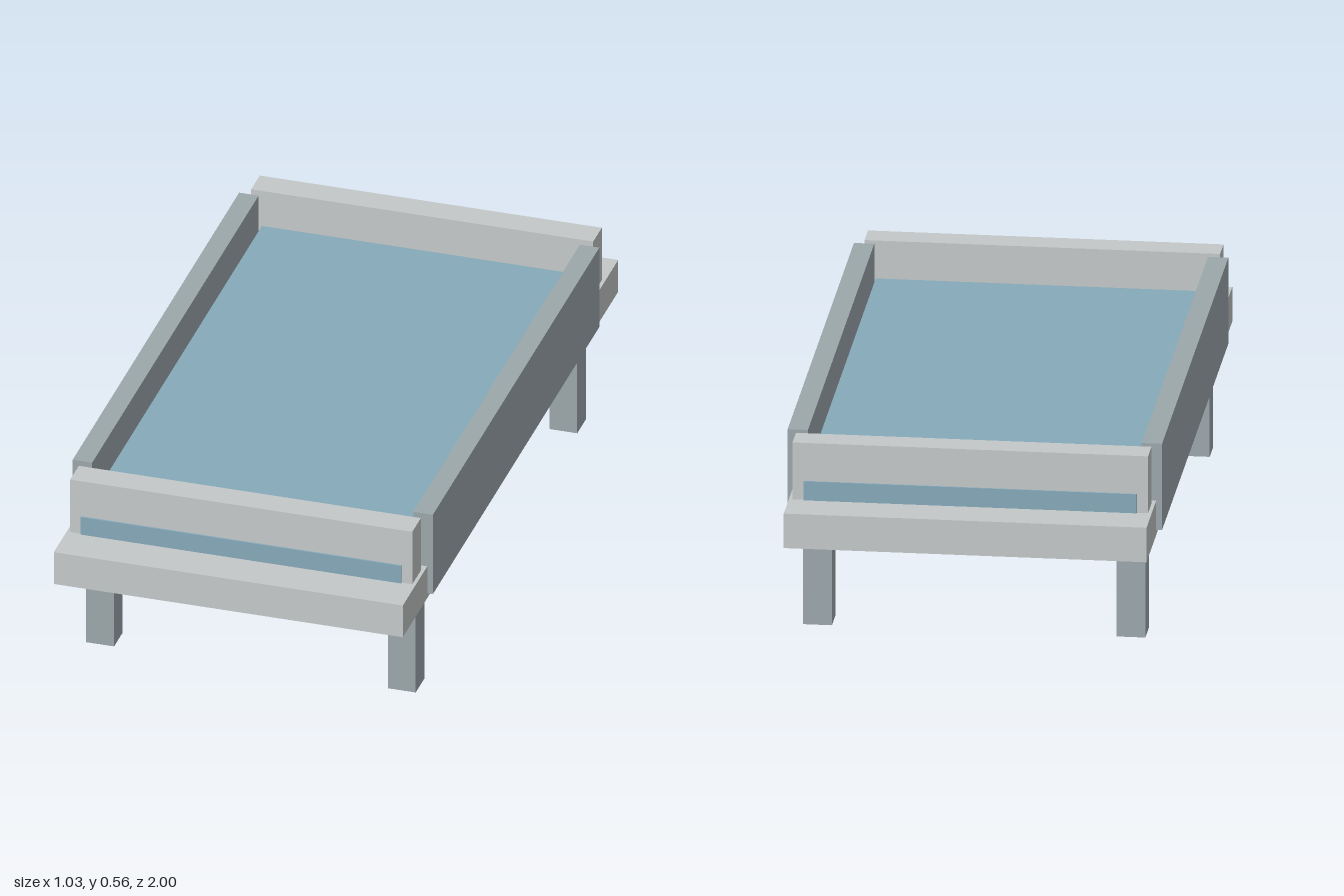
import * as THREE from 'three';

export function createModel() {
  const model = new THREE.Group();
  const lightGrey = new THREE.MeshStandardMaterial({ name: 'lightGrey', color: 0xc4c8c8 });
  const slateGrey = new THREE.MeshStandardMaterial({ name: 'slateGrey', color: 0x9ca7ab });
  const blue = new THREE.MeshStandardMaterial({ name: 'blue', color: 0x86a9ba });

  // Box from its size, centre x and z, and bottom height
  function box(name, material, [w, h, d], x, bottom, z) {
    const mesh = new THREE.Mesh(new THREE.BoxGeometry(w, h, d), material);
    mesh.name = name;
    mesh.position.set(x, bottom + h / 2, z);
    model.add(mesh);
  }

  // Bed base and mattress
  box('base', lightGrey, [1, 0.1, 2], 0, 0.293, 0);
  box('mattress', blue, [0.918, 0.118, 1.77], 0, 0.33, 0);

  for (const s of [1, -1]) {
    // Side rails and end boards
    box(s > 0 ? 'leftRail' : 'rightRail', slateGrey, [0.056, 0.25, 1.546], s * 0.488, 0.308, 0);
    box(s > 0 ? 'frontBoard' : 'backBoard', lightGrey, [0.98, 0.22, 0.08], 0, 0.338, s * 0.84);

    // Legs
    for (const end of [1, -1]) {
      box(`${end > 0 ? 'front' : 'back'}${s > 0 ? 'Left' : 'Right'}Leg`, slateGrey,
        [0.08, 0.3, 0.08], s * 0.432, 0, end * 0.75);
    }
  }
  return model;
}
